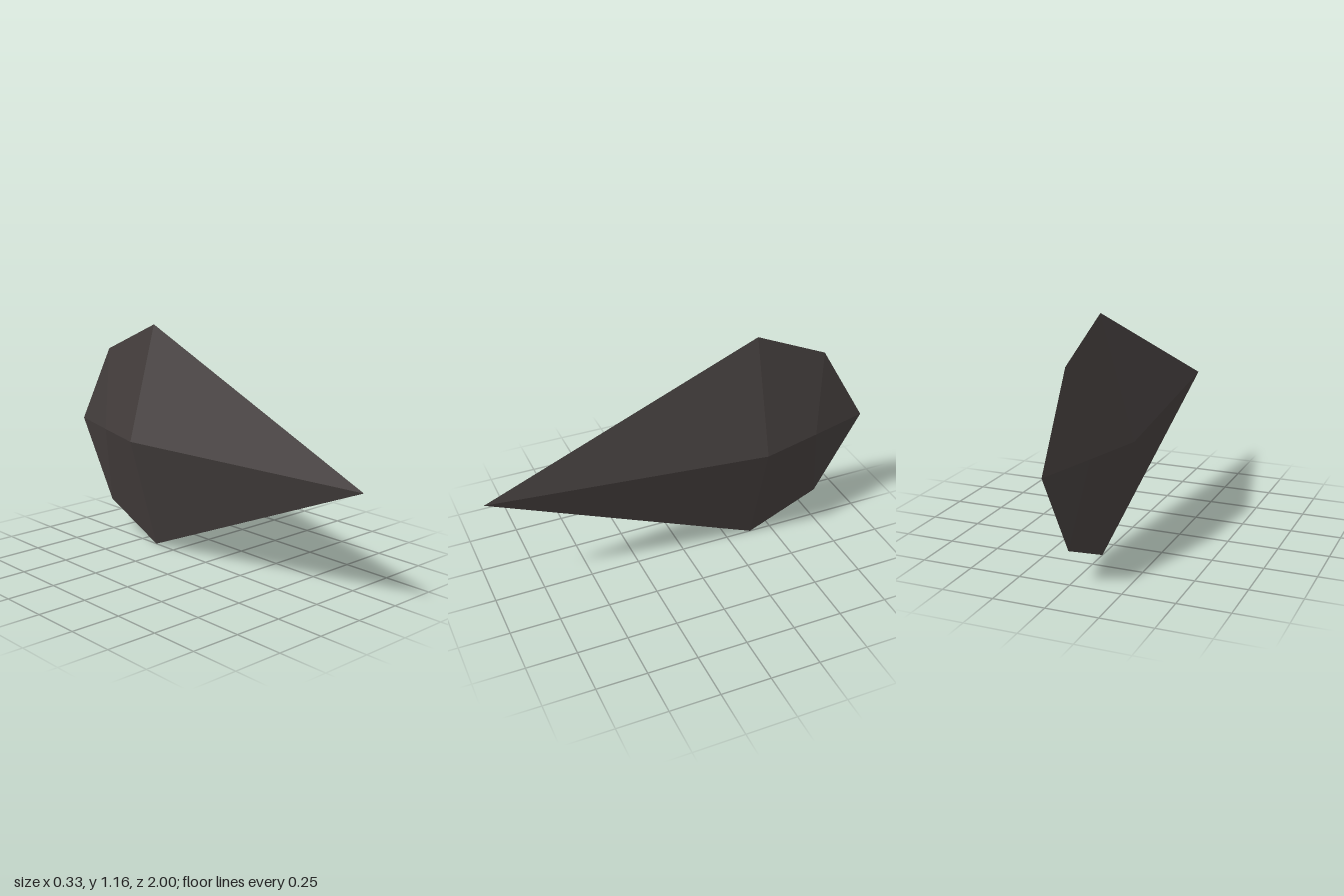
import * as THREE from 'three';

export function createModel() {
  const stone = new THREE.MeshStandardMaterial({ color: 0x433d3c });
  stone.name = 'dark stone';

  const midY = 0.58;
  const positions = [];
  const normals = [];

  // One flat facet of three or four corners, mirrored into a quadrant
  function addFacet(corners, sx, sy) {
    let p = corners.map(([x, y, z]) => new THREE.Vector3(x * sx, midY + y * sy, z));
    if (sx * sy < 0) p = [p[0], ...p.slice(1).reverse()];
    const last = p[3] ?? p[0];
    const normal = p[2].clone().sub(p[0]).cross(last.clone().sub(p[1])).normalize();
    // Fan of triangles from the first corner
    for (let i = 1; i < p.length - 1; i++) {
      for (const v of [p[0], p[i], p[i + 1]]) {
        positions.push(v.x, v.y, v.z);
        normals.push(normal.x, normal.y, normal.z);
      }
    }
  }

  // Corners of one quarter, relative to the middle height
  const tip = [0, 0, 1];
  const side = [0.163, 0, -0.385];
  const crest = [0, 0.58, -0.385];
  const rearSide = [0.0825, 0, -0.695];
  const shoulder = [0, 0.415, -0.757];
  const back = [0, 0, -1];
  const facets = [
    [tip, side, crest],
    [side, rearSide, shoulder, crest],
    [rearSide, back, shoulder],
  ];

  for (const sx of [1, -1]) {
    for (const sy of [1, -1]) {
      for (const facet of facets) addFacet(facet, sx, sy);
    }
  }

  const geometry = new THREE.BufferGeometry();
  geometry.setAttribute('position', new THREE.Float32BufferAttribute(positions, 3));
  geometry.setAttribute('normal', new THREE.Float32BufferAttribute(normals, 3));

  const shard = new THREE.Mesh(geometry, stone);
  shard.name = 'facetedShard';
  const model = new THREE.Group();
  model.name = 'shard';
  model.add(shard);
  return model;
}
